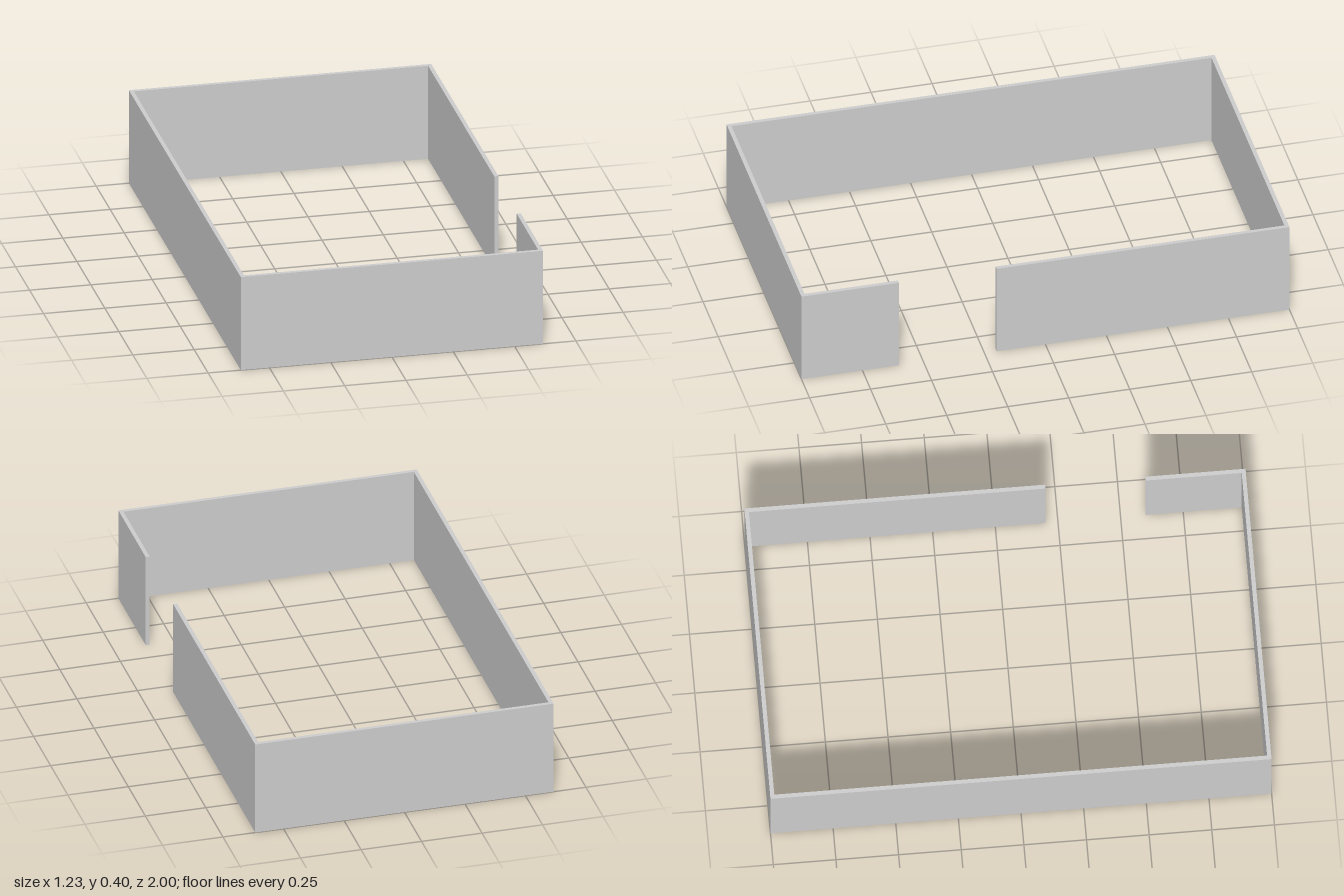
import * as THREE from 'three';

export function createModel() {
  const model = new THREE.Group();
  model.name = 'walledEnclosure';

  const w = 37 / 60; // half width
  const l = 1; // half length
  const t = 1 / 60; // wall thickness
  const height = 0.4;
  const gapBack = 0.2, gapFront = 0.6; // doorway in the left wall, along z

  // C-shaped floor plan as [x, z]: round the outside, then back along the inside
  const plan = [
    [w, gapFront], [w, l], [-w, l], [-w, -l], [w, -l], [w, gapBack],
    [w - t, gapBack], [w - t, -l + t], [-w + t, -l + t],
    [-w + t, l - t], [w - t, l - t], [w - t, gapFront],
  ];
  const shape = new THREE.Shape(plan.map(([x, z]) => new THREE.Vector2(x, -z)));

  // Raise the plan into walls
  const geometry = new THREE.ExtrudeGeometry(shape, { depth: height, bevelEnabled: false });
  geometry.rotateX(-Math.PI / 2);

  const walls = new THREE.Mesh(geometry, new THREE.MeshStandardMaterial({ color: 0xcccccc }));
  walls.name = 'walls';
  model.add(walls);
  return model;
}
